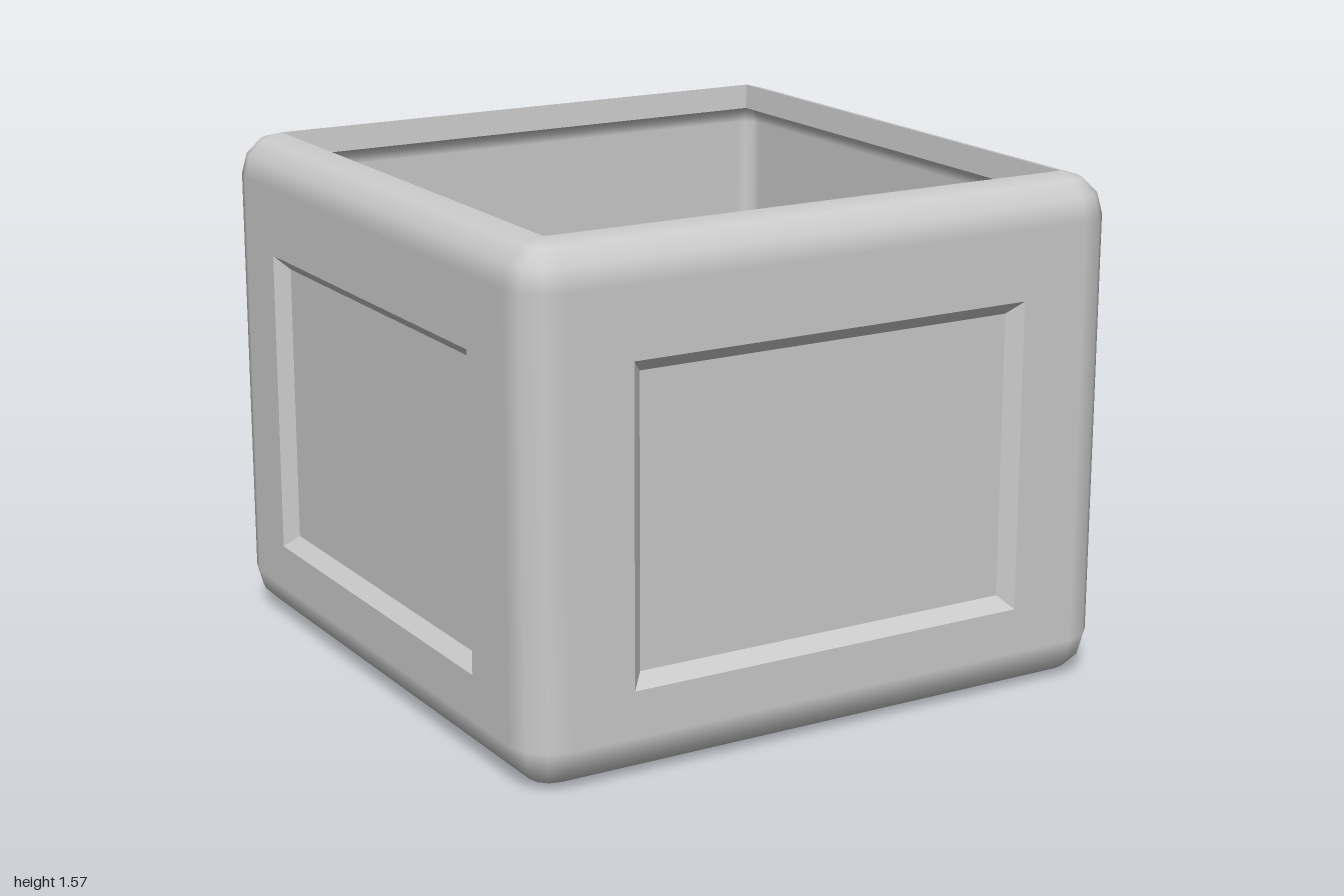
import * as THREE from 'three';

const H = 1.57, R = 0.13, CORE = 0.87, T = 0.08; // height, edge radius, flat half-width, wall thickness
const SEG = 3;                                   // segments per rounded edge
const material = new THREE.MeshStandardMaterial({ color: 0xcccccc, side: THREE.DoubleSide });

// Rings of a rounded box, bottom to top: each has a corner radius, height and normal
function boxRings(core, radius, y0, y1, sign) {
  const rings = [];
  for (let half = 0; half < 2; half++) {
    for (let i = 0; i <= SEG; i++) {
      const a = (half + i / SEG) * Math.PI / 2, s = Math.sin(a), c = Math.cos(a);
      const y = half ? y1 - radius : y0 + radius;
      rings.push({ core, rho: radius * s, y: y - radius * c, nr: sign * s, ny: -sign * c });
    }
  }
  return rings;
}

// Skin a stack of rounded-square rings; optionally leave the four flat walls open
function loft(rings, openWalls) {
  const pos = [], nor = [], index = [], n = 4 * (SEG + 1);
  for (const g of rings) {
    for (let k = 0; k < 4; k++) {
      const sx = k === 0 || k === 3 ? 1 : -1, sz = k < 2 ? 1 : -1;
      for (let i = 0; i <= SEG; i++) {
        const a = (k + i / SEG) * Math.PI / 2, c = Math.cos(a), s = Math.sin(a);
        pos.push(sx * g.core + g.rho * c, g.y, sz * g.core + g.rho * s);
        nor.push(g.nr * c, g.ny, g.nr * s);
      }
    }
  }
  for (let j = 0; j < rings.length - 1; j++) {
    for (let p = 0; p < n; p++) {
      if (openWalls && j === SEG && p % (SEG + 1) === SEG) continue;
      const q = (p + 1) % n, a = j * n + p, b = j * n + q;
      index.push(a, a + n, b, b, a + n, b + n);
    }
  }
  const geo = new THREE.BufferGeometry();
  geo.setAttribute('position', new THREE.Float32BufferAttribute(pos, 3));
  geo.setAttribute('normal', new THREE.Float32BufferAttribute(nor, 3));
  geo.setIndex(index);
  return geo;
}

const rect = (x0, y0, x1, y1) => [[x0, y0], [x1, y0], [x1, y1], [x0, y1]].map(p => new THREE.Vector2(...p));

export function createModel() {
  const model = new THREE.Group();
  const add = (parent, name, geo) => {
    const mesh = new THREE.Mesh(geo, material);
    mesh.name = name;
    parent.add(mesh);
    return mesh;
  };

  // Rounded outer shell and its underside
  add(model, 'outerShell', loft(boxRings(CORE, R, 0, H, 1), true));
  add(model, 'underside', new THREE.PlaneGeometry(2 * CORE, 2 * CORE).rotateX(Math.PI / 2));

  // Sharp rim around the opening
  const inCore = CORE - 0.007;
  const rim = loft([
    { core: CORE, rho: 0, y: H, nr: 1, ny: 0 },
    { core: inCore, rho: 0, y: H - T, nr: 1, ny: 0 },
  ]).toNonIndexed();
  rim.computeVertexNormals();
  add(model, 'rim', rim);

  // Rounded inner cavity and its floor
  add(model, 'innerShell', loft(boxRings(inCore, 0.057, T, H - T, -1).reverse()));
  add(model, 'innerFloor', new THREE.PlaneGeometry(2 * inCore, 2 * inCore).rotateX(-Math.PI / 2).translate(0, T, 0));

  // Flat wall with a window for the recessed panel
  const x0 = -0.667, x1 = 0.655, y0 = 0.27, y1 = 1.225, slope = 0.04, depth = 0.04;
  const outer = rect(x0, y0, x1, y1);
  const inner = rect(x0 + slope, y0 + slope, x1 - slope, y1 - slope);
  const wallShape = new THREE.Shape(rect(-CORE, R, CORE, H - R));
  wallShape.holes.push(new THREE.Path(outer));
  const wallGeo = new THREE.ShapeGeometry(wallShape);
  const panelGeo = new THREE.ShapeGeometry(new THREE.Shape(inner)).translate(0, 0, -depth);

  // Sloped border of the recess
  const pts = [];
  for (let i = 0; i < 4; i++) {
    const j = (i + 1) % 4;
    const o = p => [p.x, p.y, 0], n = p => [p.x, p.y, -depth];
    pts.push(...o(outer[i]), ...o(outer[j]), ...n(inner[j]), ...o(outer[i]), ...n(inner[j]), ...n(inner[i]));
  }
  const bevelGeo = new THREE.BufferGeometry();
  bevelGeo.setAttribute('position', new THREE.Float32BufferAttribute(pts, 3));
  bevelGeo.computeVertexNormals();

  // Same wall on all four sides
  ['front', 'left', 'back', 'right'].forEach((side, k) => {
    const wall = new THREE.Group();
    wall.name = side + 'Wall';
    add(wall, side + 'Face', wallGeo).position.z = 1;
    add(wall, side + 'PanelBevel', bevelGeo).position.z = 1;
    add(wall, side + 'Panel', panelGeo).position.z = 1;
    wall.rotation.y = k * Math.PI / 2;
    model.add(wall);
  });

  return model;
}
